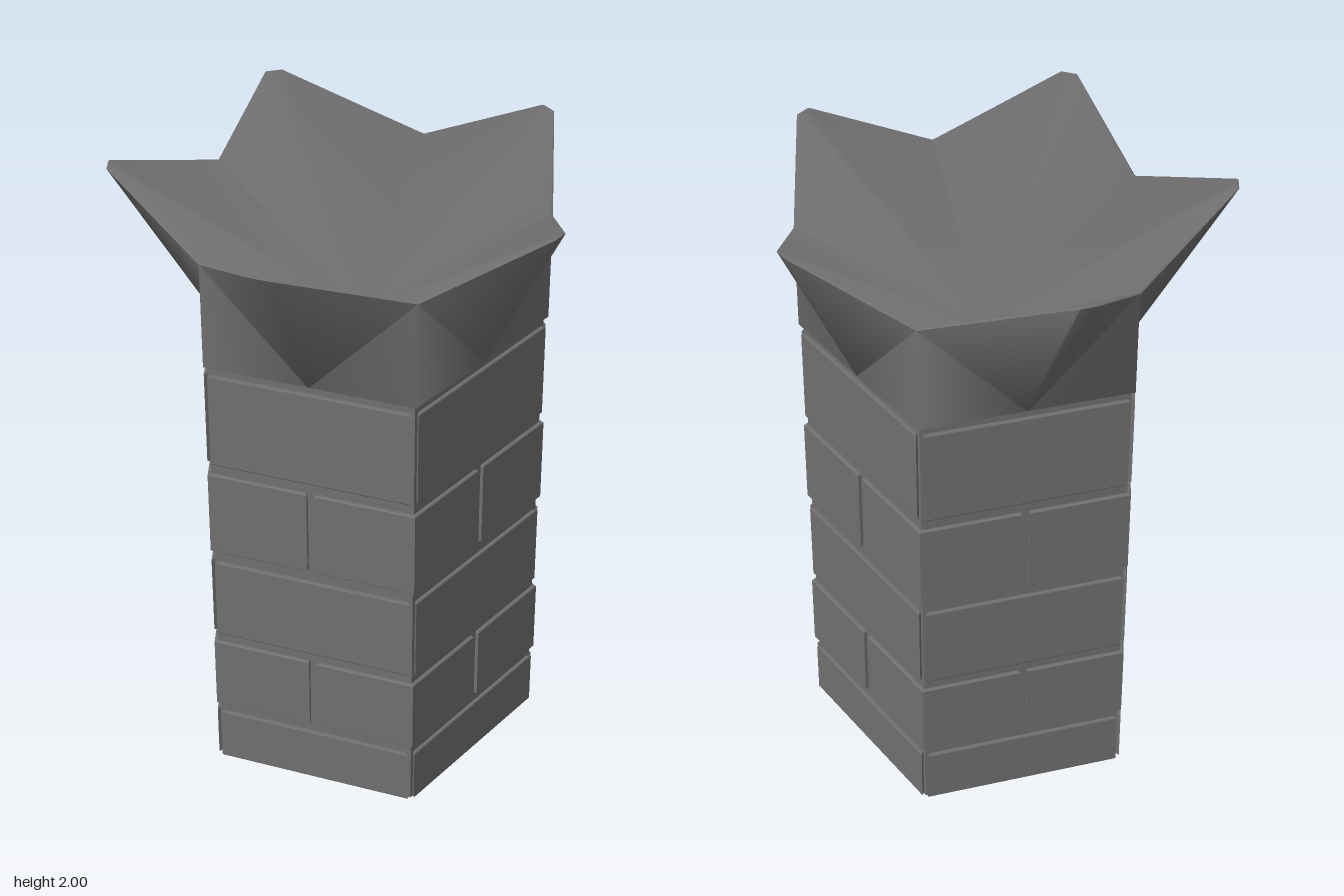
import * as THREE from 'three';
import { toCreasedNormals } from 'three/addons/utils/BufferGeometryUtils.js';

const CX = -0.03, CZ = 0.012;       // axis of the five-sided column
const R = 0.57;                     // corner radius of the brickwork
const STEP = Math.PI * 2 / 5;
const material = new THREE.MeshStandardMaterial({ color: 0x707070 });

const corner = (i, r = R) => {
  const a = (i - 0.5) * STEP;
  return new THREE.Vector2(CX + r * Math.cos(a), CZ + r * Math.sin(a));
};
const middle = (i, r = R) => corner(i, r).lerp(corner(i + 1, r), 0.5);

function add(parent, name, geometry) {
  const mesh = new THREE.Mesh(geometry, material);
  mesh.name = name;
  parent.add(mesh);
}

// Shorten an open path at both ends to leave room for the mortar joints
function trim(path, d) {
  const p = path.map(v => v.clone()), n = p.length - 1;
  const pull = (a, b) => a.clone().add(b.clone().sub(a).setLength(d));
  const first = pull(p[0], p[1]), last = pull(p[n], p[n - 1]);
  p[0] = first;
  p[n] = last;
  return p;
}

function brickGeometry(outer, inner, y0, y1) {
  const bevel = 0.004;
  const shape = new THREE.Shape([...trim(outer, 0.012), ...trim(inner, 0.012).reverse()]);
  const geo = new THREE.ExtrudeGeometry(shape, {
    depth: y1 - y0 - 2 * bevel, bevelEnabled: true, bevelSegments: 1,
    bevelSize: bevel, bevelThickness: bevel, bevelOffset: -bevel,
  });
  geo.rotateX(Math.PI / 2);
  geo.translate(0, y1 - bevel, 0);
  return geo;
}

// Star-shaped flaring crown, built from rings: underside, outer wall, lip, bowl
function crownGeometry() {
  const tips = [[0.665, 0.012], [0.183, 0.694], [-0.647, 0.43], [-0.655, -0.412], [0.105, -0.697]];
  const base = [], rim = [];
  for (let i = 0; i < 5; i++) {
    const c = corner(i), m = middle(i), a = i * STEP;
    const tx = -Math.sin(a) * 0.026, tz = Math.cos(a) * 0.026;
    base.push(new THREE.Vector3(c.x, 1.49, c.y));
    rim.push(new THREE.Vector3(c.x, 1.837, c.y));
    for (const s of [-1, 1]) {
      base.push(new THREE.Vector3(m.x + s * tx * 0.1, 1.49, m.y + s * tz * 0.1));
      rim.push(new THREE.Vector3(tips[i][0] + s * tx, 1.997, tips[i][1] + s * tz));
    }
  }
  const lip = rim.map(p => new THREE.Vector3(CX - p.x, 0, CZ - p.z)
    .setLength(0.006).add(p).setY(p.y + 0.003));
  const point = y => base.map(() => new THREE.Vector3(CX, y, CZ));
  const rows = [point(1.49), base, rim, lip, point(1.5)];
  const n = base.length, pos = [];
  const tri = (...v) => v.forEach(p => pos.push(p.x, p.y, p.z));
  for (let k = 0; k < rows.length - 1; k++) {
    for (let i = 0; i < n; i++) {
      const j = (i + 1) % n, A = rows[k], B = rows[k + 1];
      if (k === 0) {
        tri(A[j], B[i], B[j]);
      } else if (k === rows.length - 2) {
        tri(A[j], A[i], B[i]);
      } else if (i % 3 === 2) {
        // mirrored diagonal, so each valley joins the foot of both tips beside it
        tri(A[j], A[i], B[j]);
        tri(A[i], B[i], B[j]);
      } else {
        tri(A[j], A[i], B[i]);
        tri(A[j], B[i], B[j]);
      }
    }
  }
  const geo = new THREE.BufferGeometry();
  geo.setAttribute('position', new THREE.Float32BufferAttribute(pos, 3));
  return toCreasedNormals(geo, 1.3);
}

export function createModel() {
  const model = new THREE.Group();
  model.name = 'brickColumn';

  // Recessed mortar core
  const coreR = 0.556;
  const core = new THREE.CylinderGeometry(coreR, coreR, 1.49, 5, 1, false, -Math.PI / 2).toNonIndexed();
  core.computeVertexNormals();
  core.translate(CX, 0.745, CZ);
  add(model, 'mortarCore', core);

  // Courses alternate between whole-side bricks and bricks that wrap a corner
  const courses = [[0, 0.185], [0.215, 0.468], [0.502, 0.78], [0.82, 1.108], [1.145, 1.462]];
  courses.forEach(([y0, y1], k) => {
    const course = new THREE.Group();
    course.name = 'brickCourse' + (k + 1);
    for (let i = 0; i < 5; i++) {
      const path = r => k % 2
        ? [middle(i - 1, r), corner(i, r), middle(i, r)]
        : [corner(i, r), corner(i + 1, r)];
      add(course, 'brick', brickGeometry(path(R), path(0.52), y0, y1));
    }
    model.add(course);
  });

  add(model, 'flaredCrown', crownGeometry());
  return model;
}
